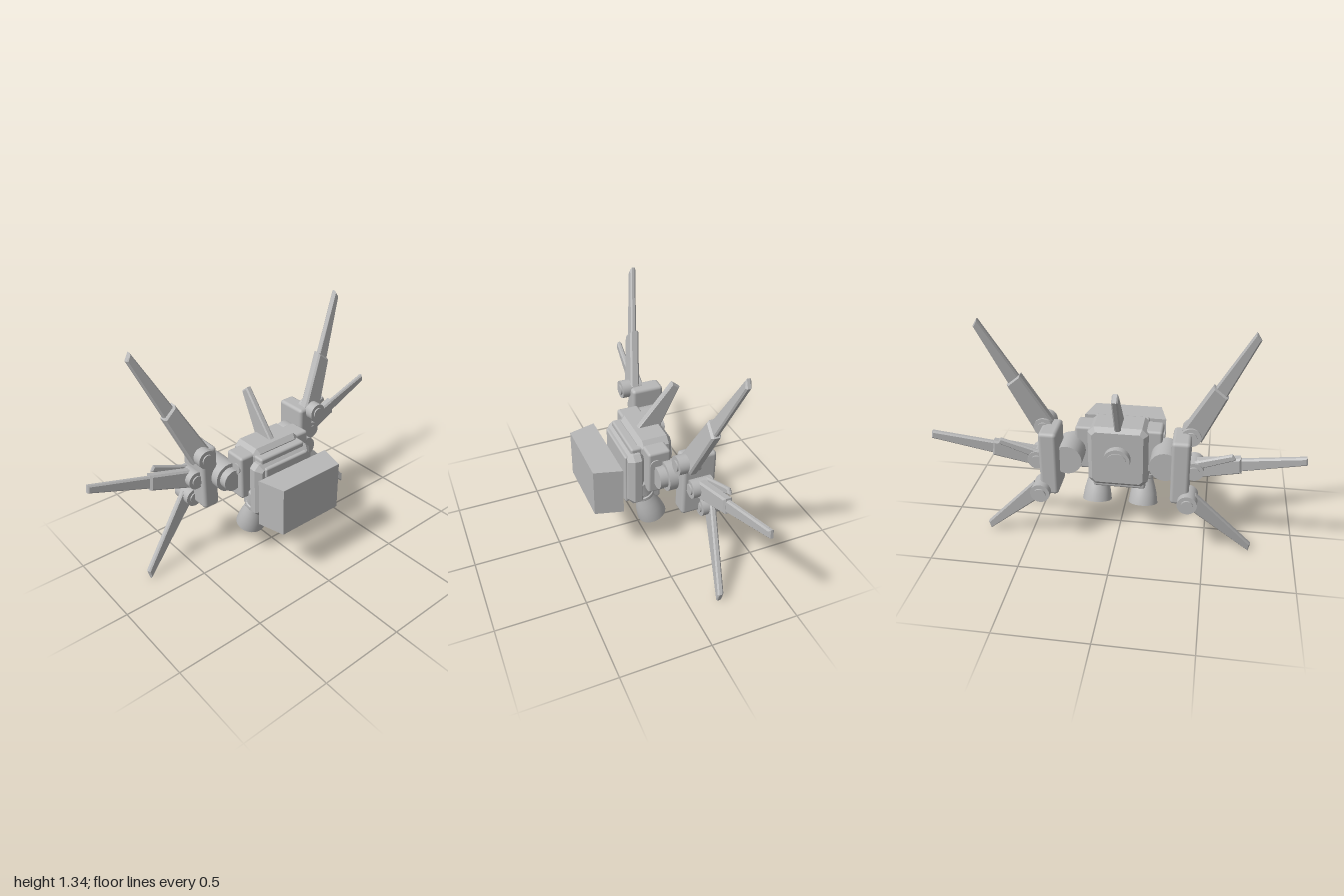
import * as THREE from 'three';
import { RoundedBoxGeometry } from 'three/addons/geometries/RoundedBoxGeometry.js';

const grey = new THREE.MeshStandardMaterial({ color: 0xb8b8b8 });
grey.name = 'plain grey';
const greyOpen = new THREE.MeshStandardMaterial({ color: 0xb8b8b8, side: THREE.DoubleSide });
greyOpen.name = 'plain grey two sided';

function add(parent, name, geometry, x = 0, y = 0, z = 0, material = grey) {
  const mesh = new THREE.Mesh(geometry, material);
  mesh.name = name;
  mesh.position.set(x, y, z);
  parent.add(mesh);
  return mesh;
}

// Box given by its limits, with softened edges
function block(parent, name, [x0, x1], [y0, y1], [z0, z1], r = 0.015) {
  return add(parent, name, new RoundedBoxGeometry(x1 - x0, y1 - y0, z1 - z0, 2, r),
    (x0 + x1) / 2, (y0 + y1) / 2, (z0 + z1) / 2);
}

// Cylinder lying along z
function drum(parent, name, x, y, r, z0, z1) {
  const g = new THREE.CylinderGeometry(r, r, z1 - z0, 32).rotateX(Math.PI / 2);
  return add(parent, name, g, x, y, (z0 + z1) / 2);
}

// Bevelled plate with an outline in x, y, centred on z = 0
function plate(points, thick, bevel) {
  const shape = new THREE.Shape(points.map(([x, y]) => new THREE.Vector2(x, y)));
  const g = new THREE.ExtrudeGeometry(shape, {
    depth: thick - 2 * bevel, bevelEnabled: true, bevelThickness: bevel,
    bevelSize: bevel, bevelOffset: -bevel, bevelSegments: 1,
  });
  return g.translate(0, 0, bevel - thick / 2);
}

// Rectangle outline with cut corners
function cutRect(w, y0, y1, c) {
  return [[-w + c, y0], [w - c, y0], [w, y0 + c], [w, y1 - c],
    [w - c, y1], [-w + c, y1], [-w, y1 - c], [-w, y0 + c]];
}

const lerp = (a, b, t) => a.map((v, i) => v + (b[i] - v) * t);

// Swept blade with a thicker sleeve around its inner part
function blade(parent, name, s, corners, z0, z1, thick, sleeve) {
  const [ra, ta, tb, rb] = corners.map(([x, y]) => [x * s, y]);
  const root = new THREE.Vector2(...lerp(ra, rb, 0.5));
  const axis = new THREE.Vector2(...lerp(ta, tb, 0.5)).sub(root);
  const sweep = (g) => {
    const p = g.attributes.position;
    for (let i = 0; i < p.count; i++) {
      const t = ((p.getX(i) - root.x) * axis.x + (p.getY(i) - root.y) * axis.y) / axis.lengthSq();
      p.setZ(i, p.getZ(i) + z0 + (z1 - z0) * t);
    }
    g.computeVertexNormals();
    return g;
  };
  const group = new THREE.Group();
  group.name = name;
  parent.add(group);
  // The blade tapers from just inside the sleeve
  add(group, 'bladePlate', sweep(plate([lerp(ra, rb, 0.08), ta, tb, lerp(rb, ra, 0.08)], thick, 0.008)));
  if (sleeve) {
    const ea = lerp(ra, ta, sleeve), eb = lerp(rb, tb, sleeve);
    add(group, 'bladeSleeve', sweep(plate(
      [ra, lerp(ea, eb, -0.07), lerp(eb, ea, -0.04), rb], thick + 0.022, 0.01)));
  }
}

function thruster(parent, s) {
  const profile = [[0, 0.02], [0.05, 0.02], [0.064, 0.005], [0.064, -0.07], [0.052, -0.08],
    [0.052, -0.095], [0.058, -0.1], [0.058, -0.118], [0.05, -0.124], [0.063, -0.165],
    [0.075, -0.21], [0.085, -0.274], [0.078, -0.274], [0.066, -0.21], [0.04, -0.15], [0, -0.14]];
  const points = [];
  // Repeated points keep the rims crisp
  profile.forEach(([r, y], i) => {
    points.push(new THREE.Vector2(r, y));
    if (i > 0 && i < 9) points.push(new THREE.Vector2(r, y - 0.0005));
  });
  const mesh = add(parent, 'thruster', new THREE.LatheGeometry(points, 32), 0.135 * s, 0.437, 0.05, greyOpen);
  mesh.rotation.x = 0.3;
}

export function createModel() {
  const model = new THREE.Group();
  model.name = 'wingPack';

  // Separate tapered mounting block in front
  const mount = new THREE.BoxGeometry(0.48, 0.285, 0.155);
  const mp = mount.attributes.position;
  for (let i = 0; i < mp.count; i++) if (mp.getZ(i) > 0) mp.setX(i, mp.getX(i) * 0.83);
  mount.computeVertexNormals();
  add(model, 'frontMount', mount, 0, 0.4725, 0.2575);

  // Central body, chest plate and back disc
  const body = new THREE.Group();
  body.name = 'body';
  model.add(body);
  add(body, 'mainBody', plate(cutRect(0.168, 0.335, 0.7, 0.035), 0.195, 0.025), 0, 0, -0.043);
  add(body, 'chestPlate', plate(cutRect(0.2, 0.305, 0.645, 0.03), 0.1, 0.03), 0, 0, 0.075);
  block(body, 'chestRidge', [-0.15, 0.15], [0.31, 0.625], [0.09, 0.135], 0.01);
  block(body, 'upperRidge', [-0.155, 0.155], [0.6, 0.67], [0, 0.1], 0.012);
  block(body, 'lowerBlock', [-0.15, 0.15], [0.29, 0.37], [-0.08, 0.06]);
  drum(body, 'backDisc', 0, 0.52, 0.075, -0.18, -0.12);
  drum(body, 'backDiscCap', 0, 0.52, 0.055, -0.186, -0.17);

  // Swept top fin, drawn in z, y and turned upright
  const fin = plate([[-0.02, 0.68], [0.2, 0.945], [0.243, 0.91], [0.13, 0.68]], 0.036, 0.008);
  add(body, 'topFin', fin.rotateY(Math.PI / 2));

  for (const s of [1, -1]) {
    const side = new THREE.Group();
    side.name = s > 0 ? 'leftSide' : 'rightSide';
    model.add(side);
    const span = (a, b) => (s > 0 ? [a, b] : [-b, -a]);

    // Shoulder and rotary joint between body and pod
    block(side, 'shoulder', span(0.14, 0.242), [0.415, 0.678], [-0.095, 0.035]);
    const bolt = new THREE.CylinderGeometry(0.03, 0.03, 0.012, 24).rotateZ(Math.PI / 2);
    add(side, 'shoulderBolt', bolt, 0.243 * s, 0.605, -0.005);
    drum(side, 'jointDrum', 0.268 * s, 0.535, 0.084, -0.22, -0.045);
    drum(side, 'jointCap', 0.268 * s, 0.535, 0.062, -0.22, 0);
    thruster(side, s);

    // Wing pod and its hinges
    block(side, 'wingPod', span(0.305, 0.405), [0.348, 0.725], [-0.287, -0.095], 0.02);
    for (const [name, x, y, r, z0, z1] of [
      ['upperHinge', 0.4, 0.7, 0.053, -0.172, -0.05],
      ['middleHinge', 0.425, 0.538, 0.052, -0.25, -0.125],
      ['lowerHinge', 0.4, 0.373, 0.054, -0.325, -0.2],
    ]) {
      drum(side, name, x * s, y, r, z0, z1);
      drum(side, name + 'Cap', x * s, y, r * 0.6, z0 - 0.01, z1 + 0.008);
    }

    // Blades
    blade(side, 'upperBlade', s, [[0.35, 0.73], [0.685, 1.335], [0.71, 1.295], [0.455, 0.66]], -0.125, -0.245, 0.032, 0.47);
    blade(side, 'middleBlade', s, [[0.42, 0.585], [0.992, 0.69], [1, 0.645], [0.43, 0.475]], -0.185, -0.265, 0.03, 0.43);
    blade(side, 'smallBlade', s, [[0.42, 0.595], [0.62, 0.662], [0.64, 0.63], [0.43, 0.535]], -0.225, -0.245, 0.024, 0);
    blade(side, 'lowerBlade', s, [[0.38, 0.325], [0.752, 0], [0.762, 0.05], [0.45, 0.42]], -0.26, -0.17, 0.034, 0);
  }
  return model;
}
